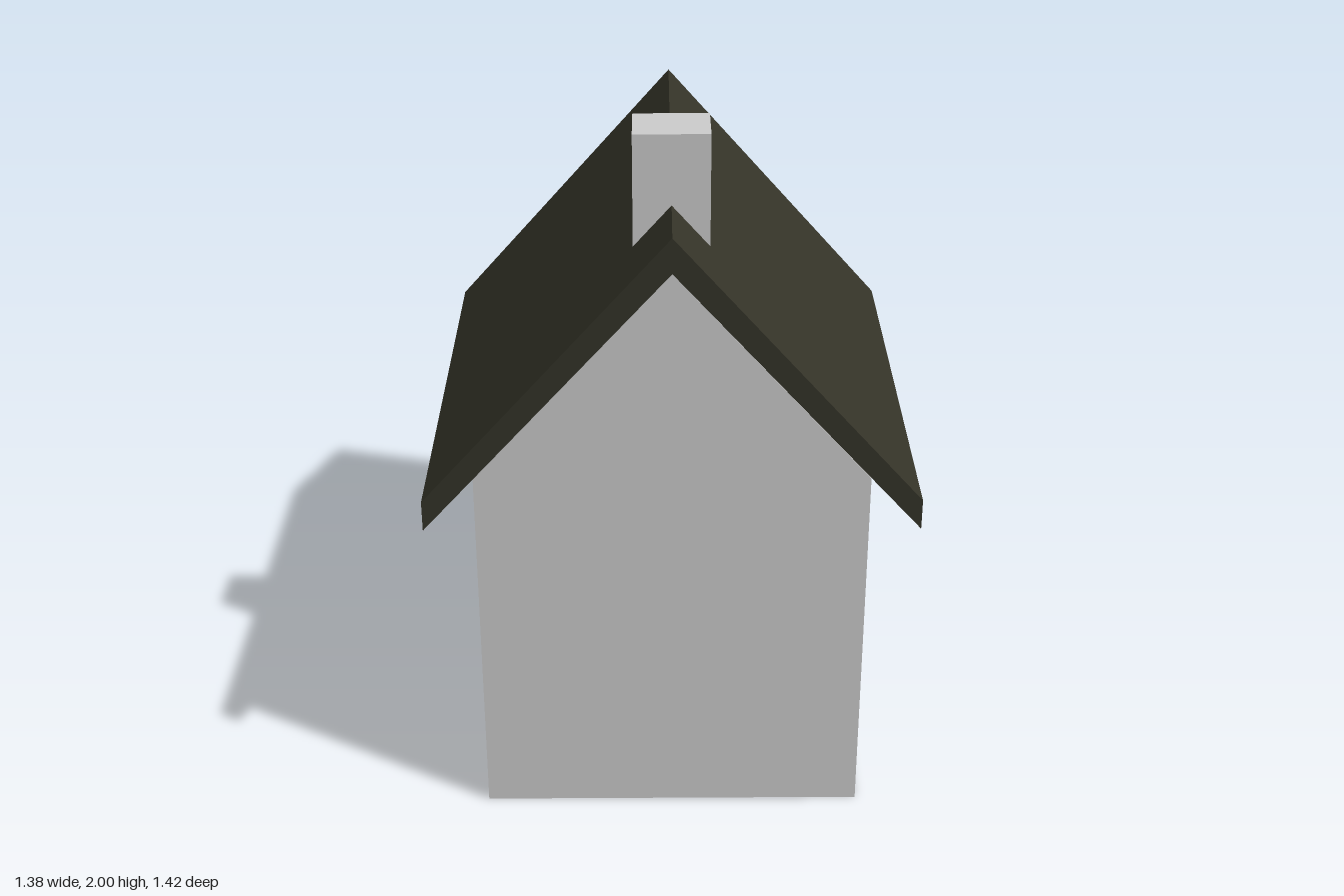
import * as THREE from 'three';

const HALF_W = 0.545, HALF_D = 0.71, EAVE = 1.09, PEAK = 1.7;
const WALL = 0.035; // wall thickness, also the depth of the window recesses
const windows = [0.285, -0.325].map((z) => ({ z, y: 0.595, w: 0.19, h: 0.23 }));

const mat = (name, color) => {
  const m = new THREE.MeshStandardMaterial({ color });
  m.name = name;
  return m;
};

const polygon = (points) => new THREE.Shape(points.map(([x, y]) => new THREE.Vector2(x, y)));

const rect = (x, y, w, h) => [
  [x - w / 2, y - h / 2], [x + w / 2, y - h / 2], [x + w / 2, y + h / 2], [x - w / 2, y + h / 2],
];

const extrude = (shape, depth) => new THREE.ExtrudeGeometry(shape, { depth, bevelEnabled: false });

export function createModel() {
  const group = new THREE.Group();
  const plaster = mat('plaster grey', 0xcccccc);
  const roofing = mat('dark olive roofing', 0x343328);
  const glass = mat('black glass', 0x0e0e0e);

  const add = (name, geometry, material, x = 0, y = 0, z = 0) => {
    const mesh = new THREE.Mesh(geometry, material);
    mesh.name = name;
    mesh.position.set(x, y, z);
    group.add(mesh);
  };

  // Gable walls at the front and back
  const gable = polygon([[-HALF_W, 0], [HALF_W, 0], [HALF_W, EAVE], [0, PEAK], [-HALF_W, EAVE]]);
  add('frontGable', extrude(gable, WALL), plaster, 0, 0, HALF_D - WALL);
  add('backGable', extrude(gable, WALL), plaster, 0, 0, -HALF_D);

  // Side walls between the gables, with window openings
  const innerD = 2 * (HALF_D - WALL);
  const side = polygon(rect(0, EAVE / 2, innerD, EAVE));
  for (const { z, y, w, h } of windows) side.holes.push(polygon(rect(z, y, w, h)));
  const sideGeometry = extrude(side, WALL).rotateY(-Math.PI / 2);
  add('leftWall', sideGeometry, plaster, HALF_W);
  add('rightWall', sideGeometry, plaster, -HALF_W + WALL);

  // Dark panes at the back of each recess
  for (const s of [1, -1]) {
    for (const { z, y, w, h } of windows) {
      add('windowPane', new THREE.BoxGeometry(0.008, h + 0.02, w + 0.02), glass,
        s * (HALF_W - WALL - 0.004), y, z);
    }
  }

  // Floor slab
  const floor = new THREE.BoxGeometry(2 * (HALF_W - WALL), 0.04, innerD);
  add('floor', floor, plaster, 0, 0.02, 0);

  // Gabled roof with overhanging eaves
  const roof = polygon([[0, 1.8], [-0.69, 1.02], [-0.69, 0.93], [0, PEAK], [0.69, 0.93], [0.69, 1.02]]);
  add('roof', extrude(roof, 2 * HALF_D), roofing, 0, 0, -HALF_D);

  // Chimney straddling the ridge
  add('chimney', new THREE.BoxGeometry(0.21, 0.34, 0.17), plaster, 0, 1.83, 0.395);

  return group;
}
